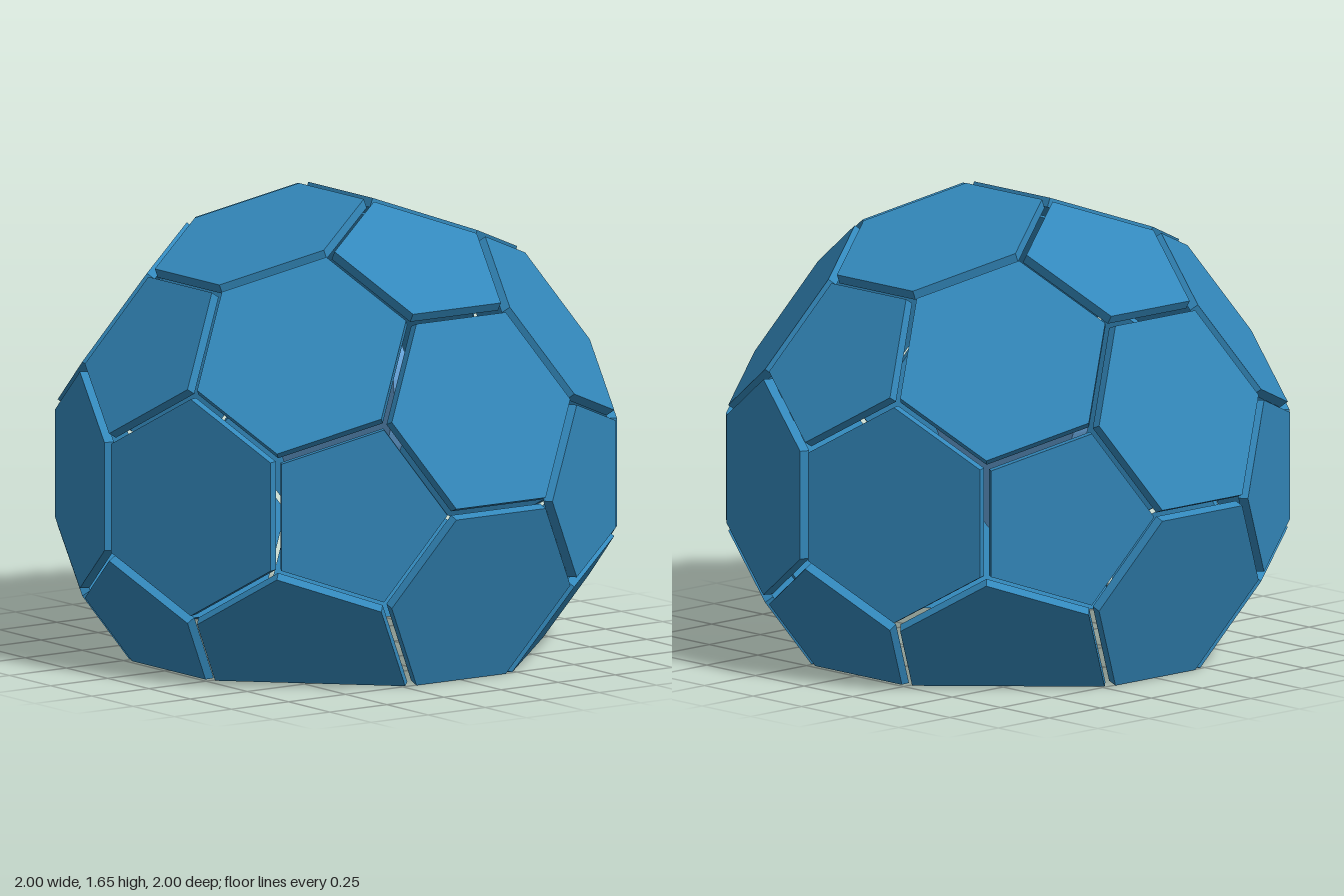
import * as THREE from 'three';
import { ConvexGeometry } from 'three/addons/geometries/ConvexGeometry.js';

const PHI = (1 + Math.sqrt(5)) / 2;
const UNIT = 0.2076;     // half an edge of the truncated icosahedron
const INSET = 0.021;     // half the gap between panels
const THICK = 0.035;     // panel thickness
const CENTRE_Y = 0.653;  // height of the ball centre above the cut

// All sign changes and cyclic permutations of a coordinate triple
function family(a, b, c) {
  const out = [];
  const signs = (v) => (v === 0 ? [0] : [v, -v]);
  for (const x of signs(a)) for (const y of signs(b)) for (const z of signs(c)) {
    out.push(new THREE.Vector3(x, y, z), new THREE.Vector3(z, x, y), new THREE.Vector3(y, z, x));
  }
  return out;
}

// Keep the part of a convex polygon that lies above the ground
function clipAboveGround(poly) {
  const out = [];
  poly.forEach((p, i) => {
    const q = poly[(i + 1) % poly.length];
    if (p.y >= 0) out.push(p);
    if ((p.y >= 0) !== (q.y >= 0)) out.push(p.clone().lerp(q, p.y / (p.y - q.y)));
  });
  return out;
}

// One flat panel, shrunk from its face to leave a gap and cut at the ground
function panelGeometry(vertices, normal) {
  const n = normal.clone().normalize();
  const reach = Math.max(...vertices.map((v) => v.dot(n)));
  const corners = vertices.filter((v) => v.dot(n) > reach - 0.001);
  const centre = n.clone().multiplyScalar(reach);
  const u = corners[0].clone().sub(centre).normalize();
  const w = n.clone().cross(u);
  const angle = (p) => Math.atan2(p.clone().sub(centre).dot(w), p.clone().sub(centre).dot(u));
  corners.sort((p, q) => angle(p) - angle(q));

  const apothem = UNIT / Math.tan(Math.PI / corners.length);
  const outer = corners.map((p) => {
    const r = centre.clone().lerp(p, 1 - INSET / apothem);
    r.y += CENTRE_Y;
    return r;
  });
  const inner = outer.map((p) => p.clone().addScaledVector(n, -THICK));
  const points = [...clipAboveGround(outer), ...clipAboveGround(inner)];
  return outer.some((p) => p.y > 0.1) ? new ConvexGeometry(points) : null;
}

// Thin upright plate inside the ball, tapering to a blunt tip
function innerPlateGeometry() {
  const s = new THREE.Shape();
  s.moveTo(0, 0.39);
  s.bezierCurveTo(0.1, 0.42, 0.4, 0.72, 0.4, 0.98);
  s.bezierCurveTo(0.4, 1.28, 0.08, 1.28, 0, 1.06);
  s.bezierCurveTo(-0.08, 1.28, -0.4, 1.28, -0.4, 0.98);
  s.bezierCurveTo(-0.4, 0.72, -0.1, 0.42, 0, 0.39);
  const g = new THREE.ExtrudeGeometry(s, { depth: 0.07, bevelEnabled: false, curveSegments: 16 });
  return g.translate(0, 0, -0.035);
}

export function createModel() {
  const group = new THREE.Group();
  group.name = 'panelledDome';
  const panelMaterial = new THREE.MeshStandardMaterial({ color: 0x3388bb, flatShading: true });
  const plateMaterial = new THREE.MeshStandardMaterial({ color: 0x66a3d9 });

  const vertices = [
    ...family(0, 1, 3 * PHI),
    ...family(1, 2 + PHI, 2 * PHI),
    ...family(PHI, 2, 2 * PHI + 1),
  ].map((v) => v.multiplyScalar(UNIT));

  const addPanels = (name, normals) => {
    const panels = new THREE.Group();
    panels.name = name + 's';
    for (const n of normals) {
      const geometry = panelGeometry(vertices, n);
      if (!geometry) continue; // faces below the cut are left open
      const mesh = new THREE.Mesh(geometry, panelMaterial);
      mesh.name = name;
      panels.add(mesh);
    }
    group.add(panels);
  };

  // Pentagons point along icosahedron corners, hexagons along dodecahedron corners
  addPanels('pentagonPanel', family(0, 1, PHI));
  const cubeCorners = family(1, 1, 1).filter((v, i) => i % 3 === 0);
  addPanels('hexagonPanel', [...cubeCorners, ...family(1 / PHI, 0, PHI)]);

  const plate = new THREE.Mesh(innerPlateGeometry(), plateMaterial);
  plate.name = 'innerPlate';
  group.add(plate);
  return group;
}
